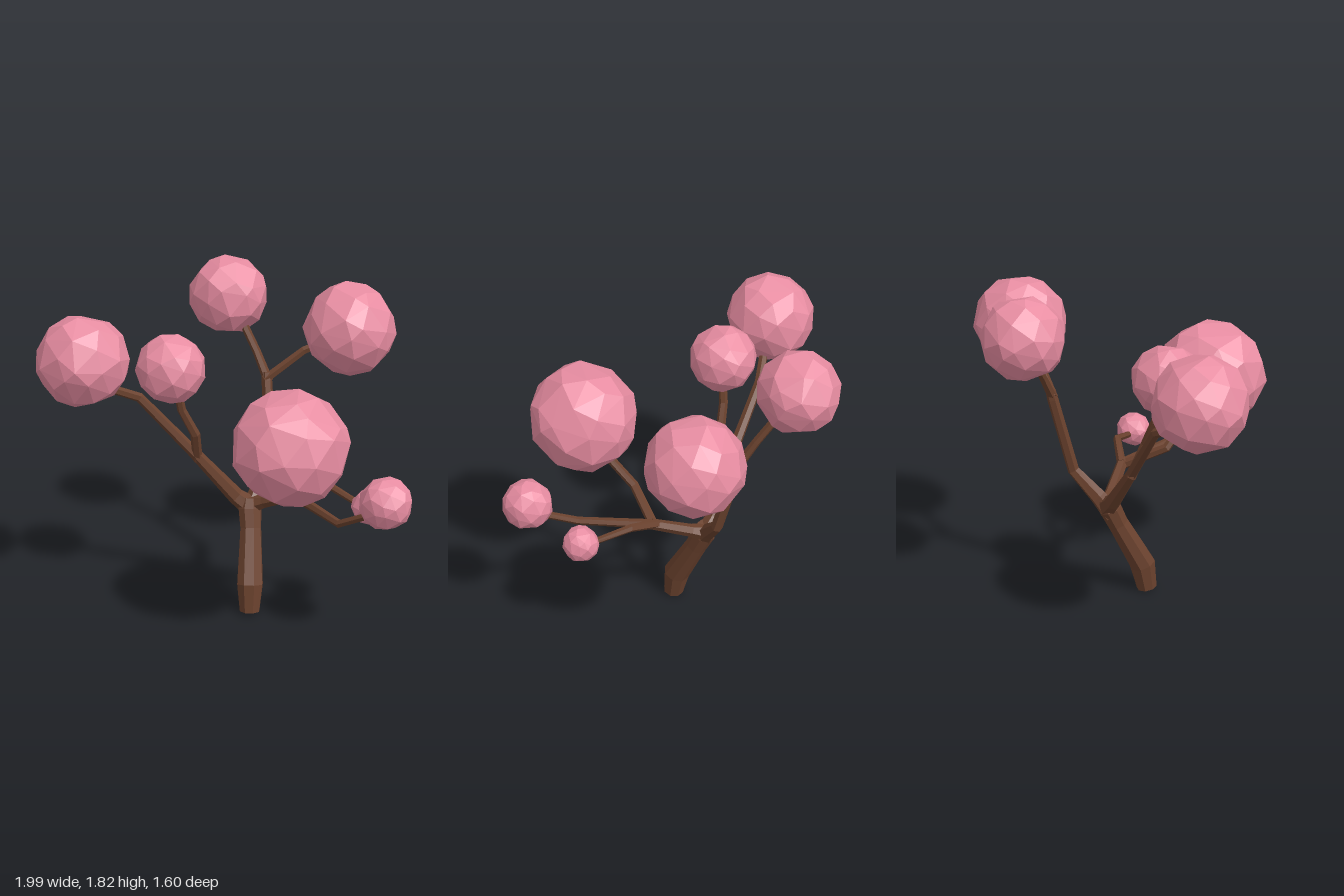
import * as THREE from 'three';
import { ConvexGeometry } from 'three/addons/geometries/ConvexGeometry.js';

const bark = new THREE.MeshStandardMaterial({ color: 0x6b422e, flatShading: true });
const blossom = new THREE.MeshStandardMaterial({ color: 0xe88da2, flatShading: true });

// Small seeded generator for the uneven facets
function seeded(seed) {
  let s = seed * 7919 + 17;
  return () => (s = (s * 16807) % 2147483647) / 2147483647;
}

// Faceted limb through points [x, y, z, radius], closed at both ends
function limb(name, points, sides = 6) {
  const centres = points.map(p => new THREE.Vector3(p[0], p[1], p[2]));
  const last = centres.length - 1;
  const pos = [], index = [];
  let u = new THREE.Vector3(0, 0, 1);
  centres.forEach((c, i) => {
    const t = new THREE.Vector3();
    if (i > 0) t.add(c.clone().sub(centres[i - 1]).normalize());
    if (i < last) t.add(centres[i + 1].clone().sub(c).normalize());
    t.normalize();
    u = u.clone().addScaledVector(t, -u.dot(t)).normalize();
    const v = t.clone().cross(u);
    for (let k = 0; k < sides; k++) {
      const a = (k / sides) * Math.PI * 2, r = points[i][3];
      const p = c.clone().addScaledVector(u, Math.cos(a) * r).addScaledVector(v, Math.sin(a) * r);
      pos.push(p.x, p.y, p.z);
    }
  });
  for (let i = 0; i < last; i++) {
    for (let k = 0; k < sides; k++) {
      const a = i * sides + k, b = i * sides + (k + 1) % sides;
      index.push(a, b, b + sides, a, b + sides, a + sides);
    }
  }
  const end = last * sides;
  for (let k = 1; k < sides - 1; k++) {
    index.push(0, k + 1, k, end, end + k, end + k + 1);
  }
  const g = new THREE.BufferGeometry();
  g.setAttribute('position', new THREE.Float32BufferAttribute(pos, 3));
  g.setIndex(index);
  const flat = g.toNonIndexed();
  flat.computeVertexNormals();
  const mesh = new THREE.Mesh(flat, bark);
  mesh.name = name;
  return mesh;
}

// Irregular faceted ball: hull of jittered points spread evenly over a sphere
function blossomBall(name, x, y, z, r, seed) {
  const rnd = seeded(seed), pts = [], n = 52;
  for (let i = 0; i < n; i++) {
    const h = 1 - (2 * (i + 0.5)) / n, a = i * 2.39996 + seed;
    const w = Math.sqrt(1 - h * h);
    const p = new THREE.Vector3(w * Math.cos(a), h, w * Math.sin(a));
    p.x += (rnd() - 0.5) * 0.22;
    p.y += (rnd() - 0.5) * 0.22;
    p.z += (rnd() - 0.5) * 0.22;
    pts.push(p.normalize().multiplyScalar(r * (0.99 + rnd() * 0.04)));
  }
  const mesh = new THREE.Mesh(new ConvexGeometry(pts), blossom);
  mesh.position.set(x, y, z);
  mesh.name = name;
  return mesh;
}

export function createModel() {
  const tree = new THREE.Group();
  tree.name = 'blossomTree';

  // Leaning trunk, slightly swollen at the fork
  tree.add(limb('trunk', [
    [0.04, 0.02, 0.19, 0.057], [0.03, 0.17, 0.165, 0.074],
    [-0.03, 0.44, 0.035, 0.06], [-0.055, 0.54, -0.005, 0.066], [-0.06, 0.6, -0.02, 0.05],
  ], 8));

  const branches = new THREE.Group();
  branches.name = 'branches';
  branches.add(
    // Left side: one main limb and three twigs
    limb('leftBranch', [[-0.07, 0.55, -0.02, 0.055], [0.03, 0.595, -0.01, 0.036], [0.25, 0.695, 0.025, 0.03]]),
    limb('leftRearTwig', [[0.22, 0.69, 0.02, 0.026], [0.4, 0.76, -0.03, 0.022], [0.66, 0.69, 0.03, 0.017]]),
    limb('leftOuterTwig', [[0.22, 0.685, 0.02, 0.028], [0.59, 0.685, 0.25, 0.022], [0.85, 0.82, 0.28, 0.02]]),
    limb('leftFrontTwig', [[0.235, 0.67, 0.02, 0.028], [0.235, 0.79, 0.27, 0.026], [0.37, 1.0, 0.42, 0.025]]),
    // Right side: one long limb and an upright twig
    limb('rightBranch', [
      [-0.05, 0.54, -0.02, 0.06], [-0.13, 0.61, 0.02, 0.046], [-0.3, 0.87, 0.15, 0.032],
      [-0.56, 1.21, 0.3, 0.026], [-0.69, 1.31, 0.47, 0.024],
    ]),
    limb('rightTwig', [
      [-0.3, 0.84, 0.14, 0.028], [-0.27, 1.02, 0.215, 0.027],
      [-0.32, 1.17, 0.27, 0.024], [-0.33, 1.35, 0.31, 0.022],
    ]),
    // Back: tall limb splitting in two
    limb('backBranch', [
      [-0.055, 0.5, 0.01, 0.055], [-0.05, 0.6, -0.07, 0.046], [-0.025, 0.74, -0.21, 0.033],
      [-0.1, 1.18, -0.305, 0.03], [-0.105, 1.23, -0.315, 0.028],
    ]),
    limb('backRightTwig', [[-0.09, 1.18, -0.305, 0.027], [-0.18, 1.33, -0.34, 0.023], [-0.3, 1.5, -0.38, 0.022]]),
    limb('backLeftTwig', [[-0.11, 1.19, -0.3, 0.027], [0.07, 1.35, -0.42, 0.024], [0.22, 1.42, -0.51, 0.022]]),
  );
  tree.add(branches);

  // Blossom balls: name, centre, radius
  const crown = new THREE.Group();
  crown.name = 'blossoms';
  [
    ['rightBlossom', -0.755, 1.457, 0.535, 0.243],
    ['backRightBlossom', -0.385, 1.615, -0.4, 0.218],
    ['rightSmallBlossom', -0.345, 1.415, 0.33, 0.184],
    ['backLeftBlossom', 0.285, 1.468, -0.55, 0.255],
    ['frontBlossom', 0.425, 1.172, 0.495, 0.3],
    ['leftSmallBlossom', 0.86, 0.87, 0.285, 0.137],
    ['leftTinyBlossom', 0.67, 0.71, 0.03, 0.098],
  ].forEach((b, i) => crown.add(blossomBall(...b, i + 1)));
  tree.add(crown);
  return tree;
}
